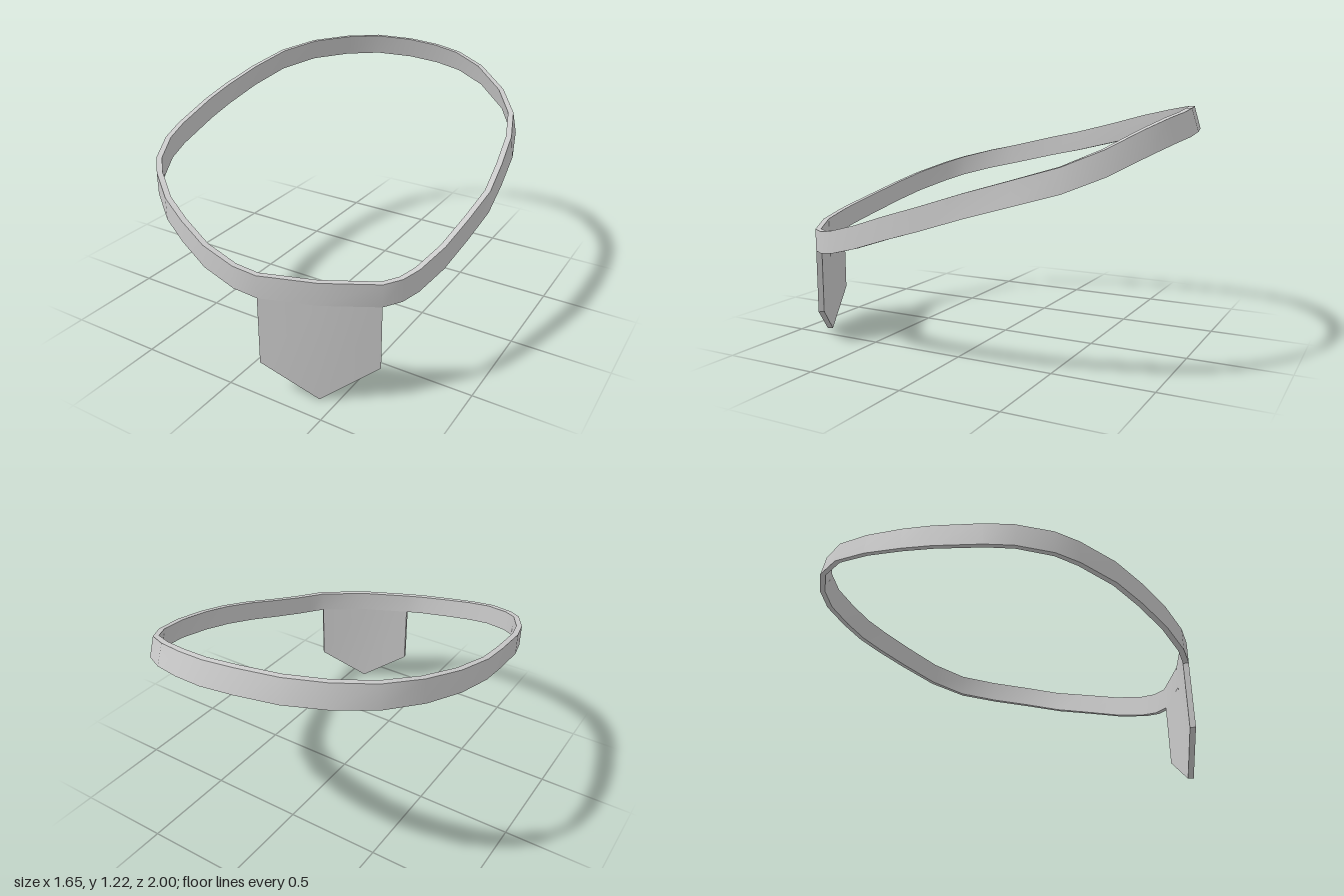
import * as THREE from 'three';
import { toCreasedNormals } from 'three/addons/utils/BufferGeometryUtils.js';

// Upper outer edge of the band: [x, y, z], from the back round the left side to the front
const EDGE = [
  [0.07, 1.195, -0.965], [0.22, 1.175, -0.945], [0.39, 1.13, -0.885], [0.57, 1.05, -0.77],
  [0.69, 0.98, -0.62], [0.76, 0.92, -0.42], [0.80, 0.855, -0.2], [0.825, 0.79, 0],
  [0.81, 0.73, 0.2], [0.785, 0.665, 0.4], [0.745, 0.62, 0.57], [0.71, 0.605, 0.66],
  [0.655, 0.602, 0.74], [0.42, 0.61, 0.885], [0.168, 0.62, 0.985], [0.05, 0.638, 0.997],
  [-0.13, 0.68, 0.975], [-0.3, 0.735, 0.92], [-0.45, 0.785, 0.855], [-0.6, 0.84, 0.745],
  [-0.68, 0.872, 0.66], [-0.76, 0.915, 0.5], [-0.795, 0.945, 0.36], [-0.82, 1.005, 0.1],
  [-0.825, 1.04, -0.07], [-0.80, 1.095, -0.3], [-0.74, 1.15, -0.52], [-0.63, 1.185, -0.7],
  [-0.47, 1.205, -0.83], [-0.3, 1.215, -0.915], [-0.1, 1.21, -0.955],
].map((p) => new THREE.Vector3(...p));

const HEIGHT = 0.112;
const THICKNESS = 0.028;
const FLAP_START = 12; // edge points that carry the flap
const FLAP_BOTTOM = [0.17, 0, 0.17];

// Four-cornered cross-section: outer top, inner top, inner bottom, outer bottom
function bandSection(p, i) {
  const n = EDGE.length;
  const before = p.clone().sub(EDGE[(i + n - 1) % n]).setY(0).normalize();
  const after = EDGE[(i + 1) % n].clone().sub(p).setY(0).normalize();
  const t = before.add(after).normalize();
  const out = new THREE.Vector3(t.z, 0, -t.x);
  const innerTop = p.clone().addScaledVector(out, -THICKNESS);
  // the band flares outward towards the back
  const drop = out.clone().multiplyScalar(0.036 * Math.max(0, -p.z)).setY(-HEIGHT);
  return [p, innerTop, innerTop.clone().add(drop), p.clone().add(drop)];
}

// Joins cross-sections into a solid strip, either a closed loop or with capped ends
function strip(sections, closed) {
  const pos = [];
  const quad = (a, b, c, d) => [a, b, c, a, c, d].forEach((v) => pos.push(v.x, v.y, v.z));
  const count = closed ? sections.length : sections.length - 1;
  for (let i = 0; i < count; i++) {
    const a = sections[i];
    const b = sections[(i + 1) % sections.length];
    for (let k = 0; k < 4; k++) {
      const m = (k + 1) % 4;
      quad(b[k], a[k], a[m], b[m]);
    }
  }
  if (!closed) {
    const s = sections[0];
    const e = sections[sections.length - 1];
    quad(s[0], s[3], s[2], s[1]);
    quad(e[0], e[1], e[2], e[3]);
  }
  const geometry = new THREE.BufferGeometry();
  geometry.setAttribute('position', new THREE.Float32BufferAttribute(pos, 3));
  return toCreasedNormals(geometry, 0.6);
}

export function createModel() {
  const group = new THREE.Group();
  group.name = 'headband';
  const material = new THREE.MeshStandardMaterial({ color: 0xcccccc });

  // Tilted band
  const sections = EDGE.map(bandSection);
  const band = new THREE.Mesh(strip(sections, true), material);
  band.name = 'band';
  group.add(band);

  // Pointed flap hanging from the front of the band
  const flapSections = FLAP_BOTTOM.map((y, i) => {
    const [, , inner, outer] = sections[FLAP_START + i];
    return [outer, inner, inner.clone().setY(y), outer.clone().setY(y)];
  });
  const flap = new THREE.Mesh(strip(flapSections, false), material);
  flap.name = 'flap';
  group.add(flap);

  return group;
}
